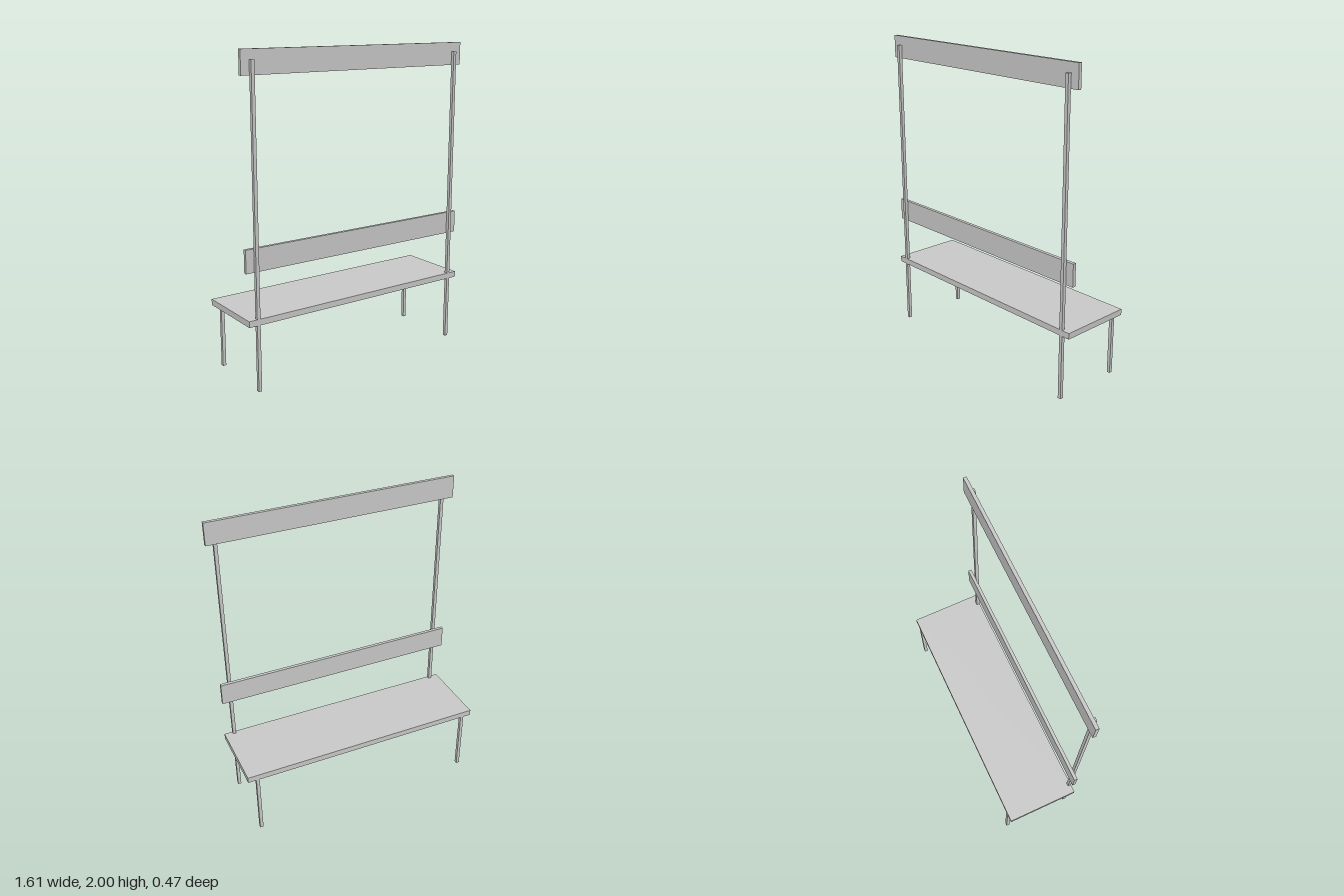
import * as THREE from 'three';

export function createModel() {
  const group = new THREE.Group();
  const material = new THREE.MeshStandardMaterial({ color: 0xcccccc });

  const width = 1.614;   // boards and seat
  const depth = 0.472;   // seat, front to back
  const bar = 0.0215;    // square section of posts and legs
  const barX = 0.743;
  const barZ = depth / 2 - bar / 2;
  const seatBottom = 0.416;
  const seatTop = 0.454;

  // Box spanning y0 to y1, centred on x and z
  function addBox(name, w, d, y0, y1, x, z) {
    const mesh = new THREE.Mesh(new THREE.BoxGeometry(w, y1 - y0, d), material);
    mesh.name = name;
    mesh.position.set(x, (y0 + y1) / 2, z);
    group.add(mesh);
  }

  addBox('seat', width, depth, seatBottom, seatTop, 0, 0);

  // Tall posts on the +z side, short legs under the other edge
  for (const [side, s] of [['left', 1], ['right', -1]]) {
    addBox(side + 'Post', bar, bar, 0, 1.942, s * barX, barZ);
    addBox(side + 'Leg', bar, bar, 0, seatBottom, s * barX, -barZ);
  }

  // Boards fixed to the inner face of the posts
  const boardZ = barZ - bar;
  addBox('backrestBoard', width, bar, 0.735, 0.878, 0, boardZ);
  addBox('topBoard', width, bar, 1.857, 2, 0, boardZ);

  return group;
}
